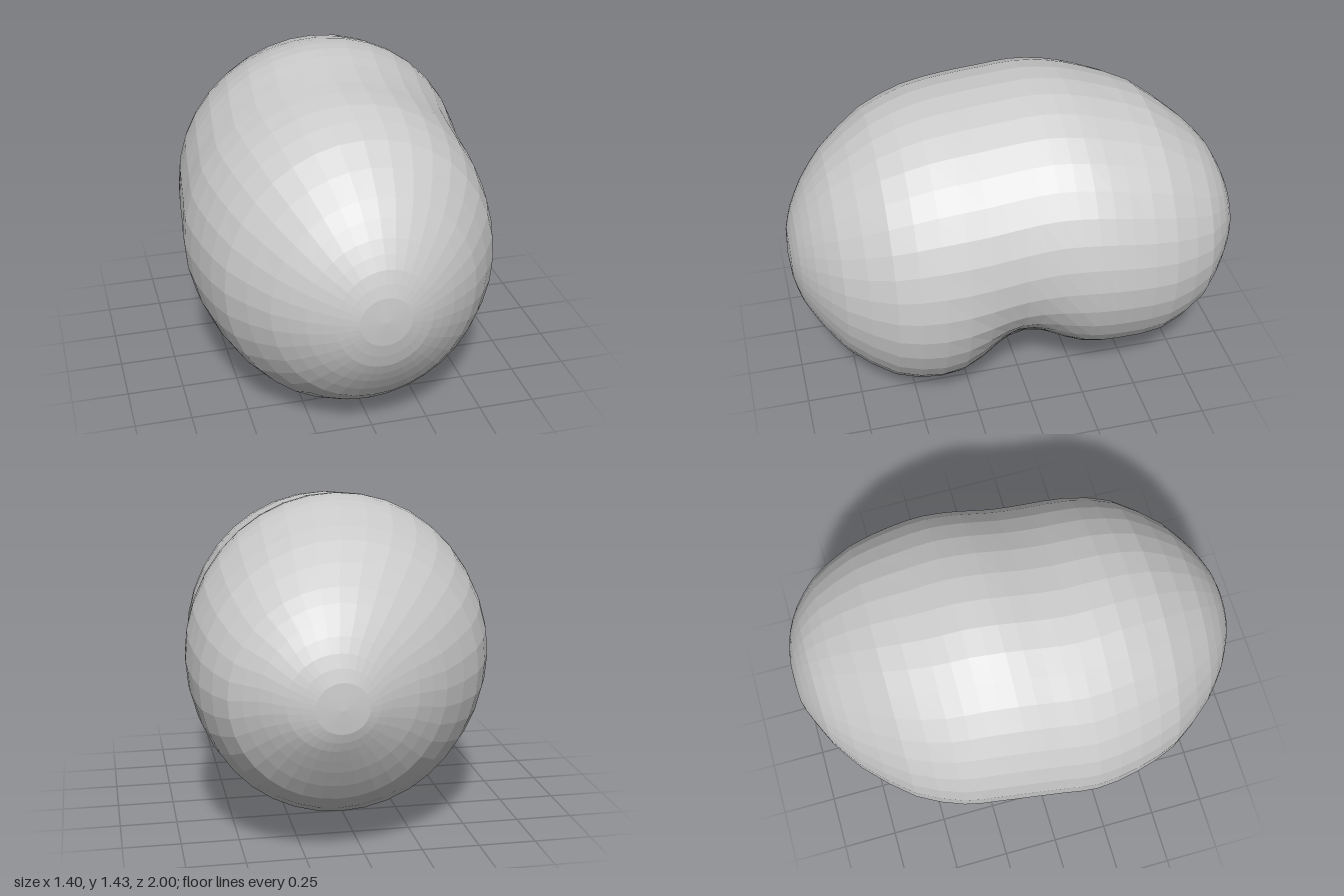
import * as THREE from 'three';

// Cross-sections from front tip to back tip: z, left/right x limits, bottom/top y limits
const SECTIONS = [
  [1.00, -0.02, -0.02, 0.68, 0.68],
  [0.992, -0.13, 0.09, 0.57, 0.79],
  [0.96, -0.22, 0.19, 0.45, 0.90],
  [0.90, -0.33, 0.30, 0.34, 1.01],
  [0.80, -0.45, 0.43, 0.20, 1.14],
  [0.60, -0.60, 0.58, 0.05, 1.30],
  [0.40, -0.67, 0.635, 0.005, 1.375],
  [0.20, -0.70, 0.65, 0.015, 1.40],
  [0.05, -0.685, 0.655, 0.045, 1.42],
  [-0.10, -0.67, 0.675, 0.085, 1.44],
  [-0.25, -0.65, 0.695, 0.11, 1.43],
  [-0.40, -0.62, 0.695, 0.125, 1.39],
  [-0.60, -0.52, 0.665, 0.145, 1.32],
  [-0.80, -0.33, 0.57, 0.28, 1.17],
  [-0.90, -0.19, 0.46, 0.43, 1.06],
  [-0.96, -0.06, 0.36, 0.54, 0.94],
  [-0.992, 0.03, 0.25, 0.62, 0.83],
  [-1.00, 0.14, 0.14, 0.72, 0.72],
];
const RINGS = 34;
const SIDES = 36;

// Groove across the lower left flank, between the two lobes
function groove(angle, z) {
  const offset = angle + Math.PI / 4;
  const around = offset / 0.6;
  const along = (z - 0.02 - 0.1 * offset) / 0.2;
  return 1 - 0.19 * Math.exp(-around * around - along * along);
}

function beanGeometry() {
  const spine = new THREE.CatmullRomCurve3(
    SECTIONS.map(([z, x0, x1, y0, y1]) => new THREE.Vector3((x0 + x1) / 2, (y0 + y1) / 2, z)));
  const radii = new THREE.CatmullRomCurve3(
    SECTIONS.map(([z, x0, x1, y0, y1]) => new THREE.Vector3((x1 - x0) / 2, (y1 - y0) / 2, z)));
  const positions = [];
  const index = [];
  for (let i = 0; i <= RINGS; i++) {
    const c = spine.getPoint(i / RINGS);
    const r = radii.getPoint(i / RINGS);
    for (let j = 0; j < SIDES; j++) {
      const a = -Math.PI + (j / SIDES) * Math.PI * 2;
      const g = groove(a, c.z);
      positions.push(c.x + r.x * g * Math.cos(a), c.y + r.y * g * Math.sin(a), c.z);
      if (i === RINGS) continue;
      const p = i * SIDES + j, q = i * SIDES + (j + 1) % SIDES;
      // Quads between rings, single triangles at the tips
      if (i > 0) index.push(p, p + SIDES, q);
      if (i < RINGS - 1) index.push(q, p + SIDES, q + SIDES);
    }
  }
  const geometry = new THREE.BufferGeometry();
  geometry.setAttribute('position', new THREE.Float32BufferAttribute(positions, 3));
  geometry.setIndex(index);
  geometry.computeVertexNormals();
  return geometry;
}

export function createModel() {
  const group = new THREE.Group();
  group.name = 'bean';
  const body = new THREE.Mesh(
    beanGeometry(),
    new THREE.MeshStandardMaterial({ color: 0xcccccc, flatShading: true }));
  body.name = 'beanBody';
  group.add(body);
  return group;
}
